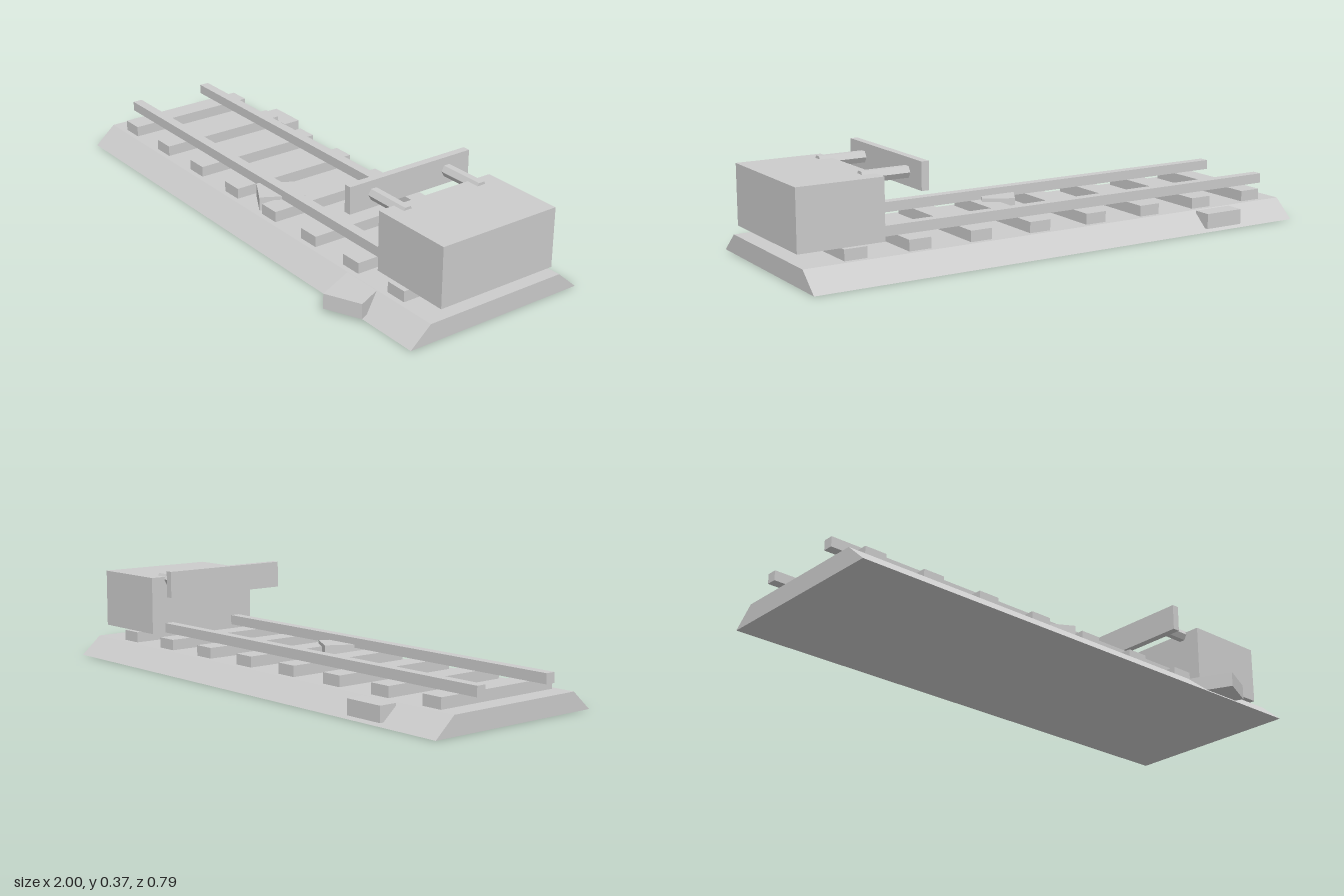
import * as THREE from 'three';

export function createModel() {
  const group = new THREE.Group();
  const grey = new THREE.MeshStandardMaterial({ color: 0xcccccc });
  grey.name = 'stone grey';
  const midZ = -0.04; // centre line of the track

  const add = (name, geometry, x, y, z) => {
    const mesh = new THREE.Mesh(geometry, grey);
    mesh.name = name;
    mesh.position.set(x, y, z);
    group.add(mesh);
    return mesh;
  };
  // Box given by its extents on each axis
  const block = (name, [x0, x1], [y0, y1], [z0, z1]) =>
    add(name, new THREE.BoxGeometry(x1 - x0, y1 - y0, z1 - z0), (x0 + x1) / 2, (y0 + y1) / 2, (z0 + z1) / 2);

  // Ballast bed: trapezoid swept along the track
  const profile = new THREE.Shape([[-0.36, 0], [0.36, 0], [0.28, 0.07], [-0.28, 0.07]].map(p => new THREE.Vector2(...p)));
  const bed = new THREE.ExtrudeGeometry(profile, { depth: 2, bevelEnabled: false });
  bed.translate(0, 0, -1).rotateY(Math.PI / 2);
  add('ballastBed', bed, 0, 0, midZ);

  // Sleepers
  for (let i = 0; i < 8; i++) {
    const x = -0.88 + i * 0.24;
    block('sleeper', [x - 0.042, x + 0.042], [0.07, 0.11], [-0.3, 0.22]);
  }

  // Rails and six-sided stop rods, one pair on each side
  for (const side of [-1, 1]) {
    const z = midZ + side * 0.162;
    block('rail', [-1, 0.72], [0.111, 0.148], [z - 0.019, z + 0.019]);
    const rod = new THREE.CylinderGeometry(0.023, 0.023, 0.19, 6).toNonIndexed();
    rod.computeVertexNormals();
    rod.rotateZ(Math.PI / 2);
    add('stopRod', rod, 0.635, 0.32, midZ + side * 0.16);
  }

  // End stop
  block('stopBlock', [0.68, 1], [0.11, 0.33], [-0.28, 0.2]);
  block('stopBeam', [0.524, 0.552], [0.27, 0.37], [-0.3, 0.22]);

  // Loose stones
  block('stone', [-0.75, -0.593], [0.013, 0.0695], [-0.4, -0.33]);
  add('stone', new THREE.BoxGeometry(0.143, 0.056, 0.18), 0.668, 0.041, 0.283).rotation.y = 0.43;
  add('stone', new THREE.BoxGeometry(0.122, 0.053, 0.168), 0, 0.0965, 0.11).rotation.y = -0.52;

  return group;
}
